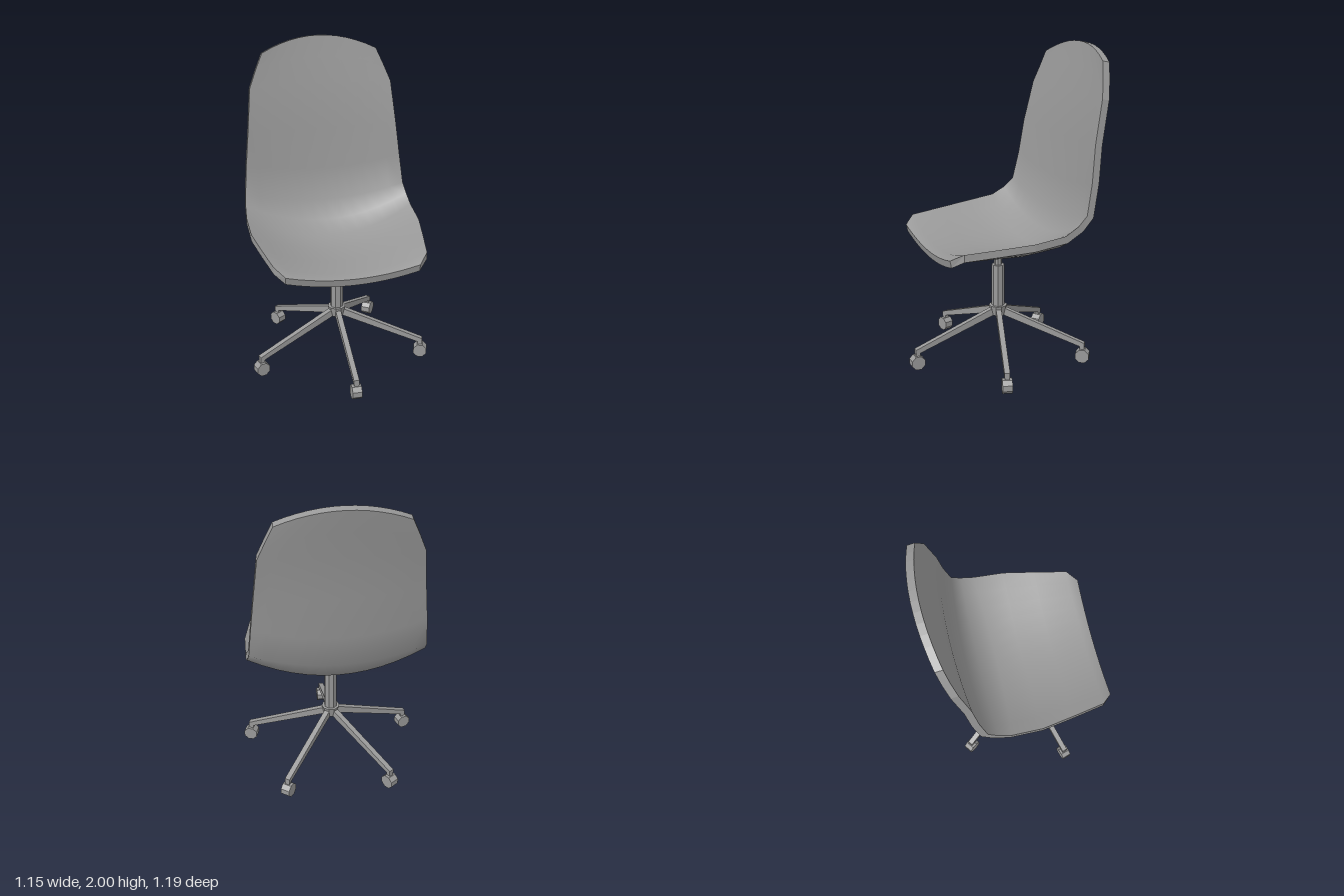
import * as THREE from 'three';

const grey = new THREE.MeshStandardMaterial({ color: 0x999999 });
grey.name = 'grey';
const greyFlat = grey;

// Shell stations from front lip to top: half width, centre z, y, edge z, y
const STATIONS = [
  [0.405, 0.470, 0.770, 0.475, 0.825],
  [0.465, 0.410, 0.782, 0.410, 0.870],
  [0.505, 0.200, 0.765, 0.200, 0.886],
  [0.540, 0.000, 0.752, 0.000, 0.902],
  [0.543, -0.170, 0.764, -0.195, 0.928],
  [0.537, -0.290, 0.830, -0.280, 0.975],
  [0.528, -0.370, 0.945, -0.340, 1.030],
  [0.510, -0.415, 1.150, -0.378, 1.220],
  [0.487, -0.440, 1.420, -0.405, 1.440],
  [0.460, -0.488, 1.700, -0.458, 1.700],
  [0.415, -0.522, 1.860, -0.485, 1.810],
  [0.370, -0.548, 2.000, -0.505, 1.910],
];
const COLS = 12;
const THICK = 0.046;

// Point on the sitting surface; side curves forward and up quadratically
function innerPoint(i, j) {
  const [w, cz, cy, ez, ey] = STATIONS[i];
  const u = (j / COLS) * 2 - 1, k = u * u;
  return new THREE.Vector3(u * w, cy + (ey - cy) * k, cz + (ez - cz) * k);
}

// Same point pushed through the shell thickness
function outerPoint(i, j) {
  const a = STATIONS[Math.max(i - 1, 0)], b = STATIONS[Math.min(i + 1, STATIONS.length - 1)];
  const dz = b[1] - a[1], dy = b[2] - a[2], len = Math.hypot(dz, dy);
  const p = innerPoint(i, j);
  p.y += (dz / len) * THICK;
  p.z -= (dy / len) * THICK;
  return p;
}

// Grid of quads from a point function; flip reverses the facing
function gridGeometry(point, rows, cols, flip) {
  const pos = [], index = [];
  for (let i = 0; i <= rows; i++)
    for (let j = 0; j <= cols; j++) pos.push(...point(i, j).toArray());
  for (let i = 0; i < rows; i++)
    for (let j = 0; j < cols; j++) {
      const a = i * (cols + 1) + j, b = a + 1, c = a + cols + 1, d = c + 1;
      index.push(...(flip ? [a, c, b, b, c, d] : [a, b, c, b, d, c]));
    }
  const g = new THREE.BufferGeometry();
  g.setAttribute('position', new THREE.Float32BufferAttribute(pos, 3));
  g.setIndex(index);
  g.computeVertexNormals();
  return g;
}

function part(name, geometry, parent, x = 0, y = 0, z = 0) {
  const m = new THREE.Mesh(geometry, greyFlat);
  m.name = name;
  m.position.set(x, y, z);
  parent.add(m);
  return m;
}

// Faceted cylinder with one flat side facing forward
function prism(rTop, rBottom, height, sides) {
  const g = new THREE.CylinderGeometry(rTop, rBottom, height, sides);
  g.rotateY(Math.PI / sides);
  const flat = g.toNonIndexed();
  flat.computeVertexNormals();
  return flat;
}

function buildShell() {
  const shell = new THREE.Group();
  shell.name = 'seatShell';
  const rows = STATIONS.length - 1;
  part('seatInnerSurface', gridGeometry(innerPoint, rows, COLS, false), shell);
  part('seatOuterSurface', gridGeometry(outerPoint, rows, COLS, true), shell);

  // Rim joins both surfaces around the outline
  const loop = [];
  for (let j = 0; j < COLS; j++) loop.push([0, j]);
  for (let i = 0; i < rows; i++) loop.push([i, COLS]);
  for (let j = COLS; j > 0; j--) loop.push([rows, j]);
  for (let i = rows; i >= 0; i--) loop.push([i, 0]);
  const rimPoint = (r, k) => (r ? outerPoint : innerPoint)(...loop[k]);
  const rim = gridGeometry(rimPoint, 1, loop.length - 1, true).toNonIndexed();
  rim.computeVertexNormals();
  part('seatRim', rim, shell);
  return shell;
}

function buildLeg(n) {
  const leg = new THREE.Group();
  leg.name = 'leg' + (n + 1);

  // Tapered arm drawn in the radius-height plane
  const s = new THREE.Shape();
  [[0.02, 0.335], [0.565, 0.128], [0.565, 0.095], [0.02, 0.285]].forEach(
    ([r, y], i) => (i ? s.lineTo(r, y) : s.moveTo(r, y)));
  const arm = new THREE.ExtrudeGeometry(s, { depth: 0.034, bevelEnabled: false });
  arm.translate(0, 0, -0.017);
  arm.rotateY(-Math.PI / 2);
  part('legArm', arm, leg);

  part('casterStem', new THREE.BoxGeometry(0.026, 0.05, 0.03), leg, 0, 0.09, 0.55);
  const wheel = prism(0.046, 0.046, 0.06, 8);
  wheel.rotateZ(Math.PI / 2);
  part('casterWheel', wheel, leg, 0, 0.043, 0.553);

  leg.rotation.y = (n * Math.PI * 2) / 5;
  return leg;
}

export function createModel() {
  const chair = new THREE.Group();
  chair.name = 'swivelChair';
  chair.add(buildShell());

  // Gas lift and hub
  part('liftRod', prism(0.025, 0.025, 0.16, 8), chair, 0, 0.66, 0);
  part('liftColumn', prism(0.041, 0.041, 0.3, 8), chair, 0, 0.465, 0);
  part('baseHub', prism(0.058, 0.045, 0.065, 10), chair, 0, 0.31, 0);

  for (let n = 0; n < 5; n++) chair.add(buildLeg(n));
  return chair;
}
